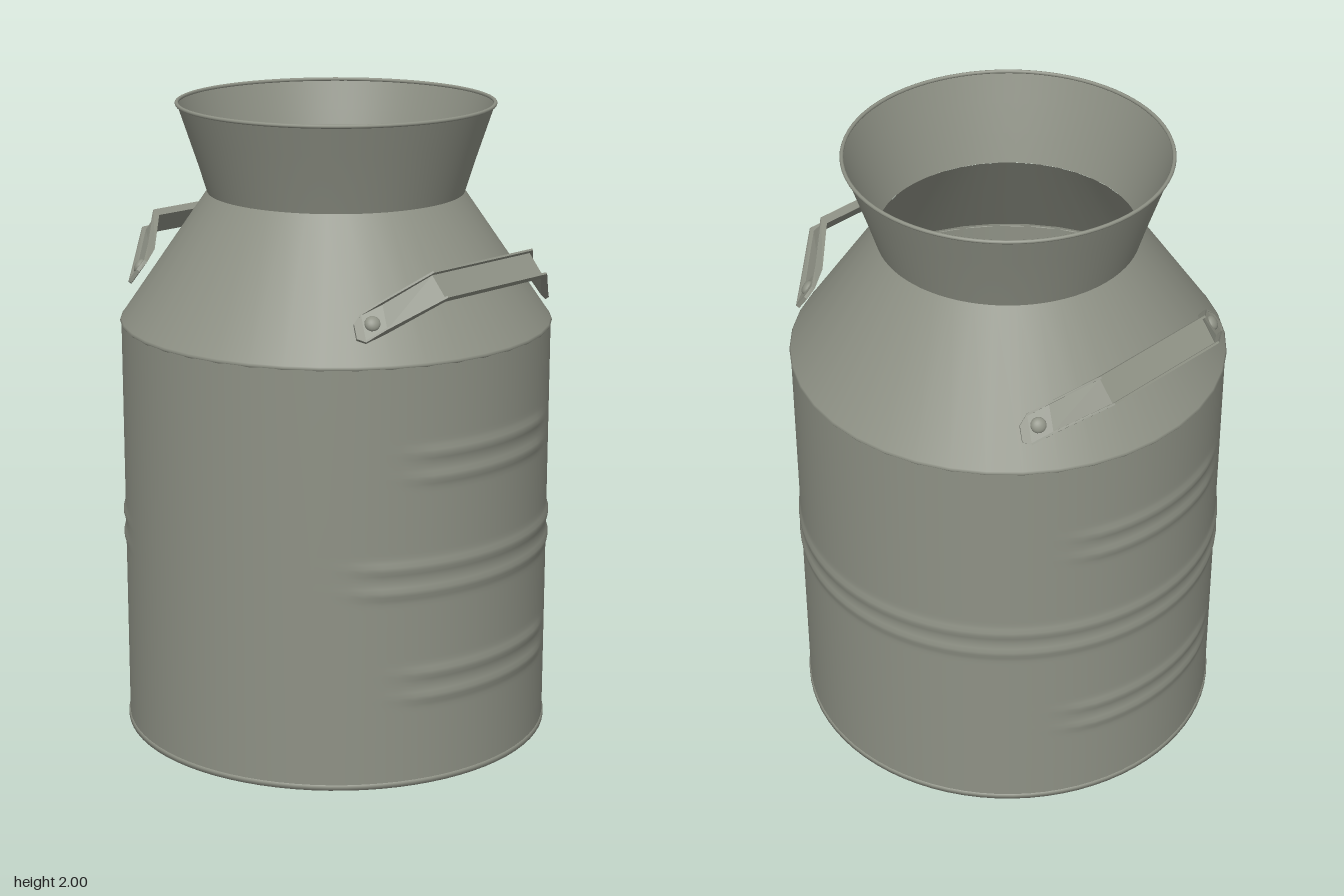
import * as THREE from 'three';
import { mergeVertices } from 'three/addons/utils/BufferGeometryUtils.js';

const SEG = 40;
const R = 0.674;

export function createModel() {
  const model = new THREE.Group();
  model.name = 'milkCan';
  const metal = new THREE.MeshStandardMaterial({ color: 0x8e9185, side: THREE.DoubleSide });
  metal.name = 'dull grey metal';

  const add = (name, geometry, parent = model) => {
    const mesh = new THREE.Mesh(geometry, metal);
    mesh.name = name;
    parent.add(mesh);
    return mesh;
  };
  const lathe = (pts, seg = SEG) => new THREE.LatheGeometry(
    pts.map(([r, y]) => new THREE.Vector2(r, y)), seg, Math.PI / seg);

  // Body wall with shallow pressed ribs: short ones on both sides, a long one round the back
  const rows = [];
  for (let i = 0; i <= 100; i++) rows.push([R, 0.012 + (1.32 - 0.012) * i / 100]);
  let wall = lathe(rows, SEG * 2);
  wall.deleteAttribute('uv');
  wall.deleteAttribute('normal');
  const pos = wall.attributes.position;
  const ridge = (y, c) => Math.exp(-(((y - c) / 0.017) ** 2));
  const fade = (d, limit) => 1 - THREE.MathUtils.smoothstep(d, limit - 0.2, limit);
  for (let i = 0; i < pos.count; i++) {
    const x = pos.getX(i), y = pos.getY(i), z = pos.getZ(i);
    const fromBack = Math.abs(Math.atan2(x, -z));
    const fromSide = Math.abs(Math.atan2(z, Math.abs(x)));
    let bump = 0;
    for (const [c, mask] of [
      [0.32, fade(fromSide, 0.56)],
      [0.66, fade(fromBack, x > 0 ? 2.35 : 2.65)],
      [1.01, fade(fromSide, 0.52)],
    ]) bump += mask * (ridge(y, c - 0.038) + ridge(y, c + 0.038));
    const k = 1 + 0.007 * bump / R;
    pos.setXYZ(i, x * k, y, z * k);
  }
  wall = mergeVertices(wall, 1e-5);
  wall.computeVertexNormals();
  add('bodyWall', wall);

  // Floor, bottom edge, shoulder and flared neck
  const floor = new THREE.CircleGeometry(R, SEG * 2);
  floor.rotateX(Math.PI / 2);
  floor.translate(0, 0.006, 0);
  add('floor', floor);
  add('bottomEdge', lathe([[R - 0.01, 0], [R + 0.004, 0], [R + 0.004, 0.012], [R, 0.016]], SEG * 2));
  add('shoulderSeam', lathe([[R, 1.312], [R + 0.004, 1.318], [R, 1.324]]));
  add('shoulder', lathe([[R + 0.002, 1.32], [0.4, 1.72]]));
  add('neck', lathe([[0.4, 1.72], [0.428, 1.81], [0.458, 1.9], [0.488, 1.99]], SEG * 2));
  const rim = new THREE.TorusGeometry(0.49, 0.006, 8, SEG * 2);
  rim.rotateX(Math.PI / 2);
  rim.translate(0, 1.994, 0);
  add('rim', rim);

  // Strap handle: a channel section carried along a bent path of [z, height off shoulder]
  const outward = new THREE.Vector3(0.75, 0.66, 0);
  const base = new THREE.Vector3(0.5, 1.43, 0);
  const half = [[0.415, -0.02], [0.39, -0.007], [0.33, 0.035], [0.215, 0.165]];
  const path = [...half, ...half.slice().reverse().map(([z, h]) => [-z, h])];
  const at = ([z, h]) => base.clone().addScaledVector(outward, h).setZ(z);
  // Section as [across, out]: flat web with two raised lips
  const section = [[-1, 0], [1, 0], [1, 0.026], [0.86, 0.026], [0.86, 0.011],
    [-0.86, 0.011], [-0.86, 0.026], [-1, 0.026]];
  const flat = [[-1, 0], [1, 0], [1, 0.012], [0.86, 0.012], [0.86, 0.011],
    [-0.86, 0.011], [-0.86, 0.012], [-1, 0.012]];

  const strapGeometry = () => {
    const last = path.length - 1;
    const loops = path.map((p, i) => {
      const a = path[Math.max(i - 1, 0)], b = path[Math.min(i + 1, last)];
      const along = at(b).sub(at(a)).normalize();
      const edge = Math.min(i, last - i);
      // feet twist to lie on the cone
      const across = (edge < 3
        ? new THREE.Vector3(0.52, -0.8, 0.28 * Math.sign(p[0]))
        : new THREE.Vector3(0.66, -0.75, 0)).normalize();
      const out = new THREE.Vector3().crossVectors(across, along).normalize();
      if (out.dot(outward) < 0) out.negate();
      const w = edge === 0 ? 0.024 : 0.046;
      return (edge < 2 ? flat : section).map(([u, v]) =>
        at(p).addScaledVector(across, u * w).addScaledVector(out, v));
    });
    const verts = [];
    const tri = (...ps) => ps.forEach((p) => verts.push(p.x, p.y, p.z));
    const n = section.length;
    for (let i = 0; i < last; i++) {
      for (let j = 0; j < n; j++) {
        const k = (j + 1) % n;
        const [a, b, c, d] = [loops[i][j], loops[i][k], loops[i + 1][k], loops[i + 1][j]];
        tri(a, c, b);
        tri(a, d, c);
      }
    }
    for (const l of [loops[0], loops[last]]) {
      tri(l[0], l[1], l[2]);
      tri(l[0], l[2], l[7]);
    }
    const g = new THREE.BufferGeometry();
    g.setAttribute('position', new THREE.Float32BufferAttribute(verts, 3));
    g.computeVertexNormals();
    return g;
  };

  const strap = strapGeometry();
  const rivet = new THREE.SphereGeometry(0.024, 14, 6, 0, Math.PI * 2, 0, Math.PI / 2);
  rivet.scale(1, 0.6, 1);
  for (const side of [1, -1]) {
    const handle = new THREE.Group();
    handle.name = side > 0 ? 'leftHandle' : 'rightHandle';
    add('strap', strap, handle);
    for (const s of [1, -1]) {
      const head = add('rivet', rivet, handle);
      const normal = new THREE.Vector3(0.66, 0.567, 0.5 * s).normalize();
      head.position.copy(at([0.368 * s, 0.012])).addScaledVector(normal, 0.008);
      head.quaternion.setFromUnitVectors(new THREE.Vector3(0, 1, 0), normal);
    }
    if (side < 0) {
      handle.rotation.y = Math.PI;
      handle.position.set(0.006, 0.015, 0);
    }
    model.add(handle);
  }
  return model;
}
